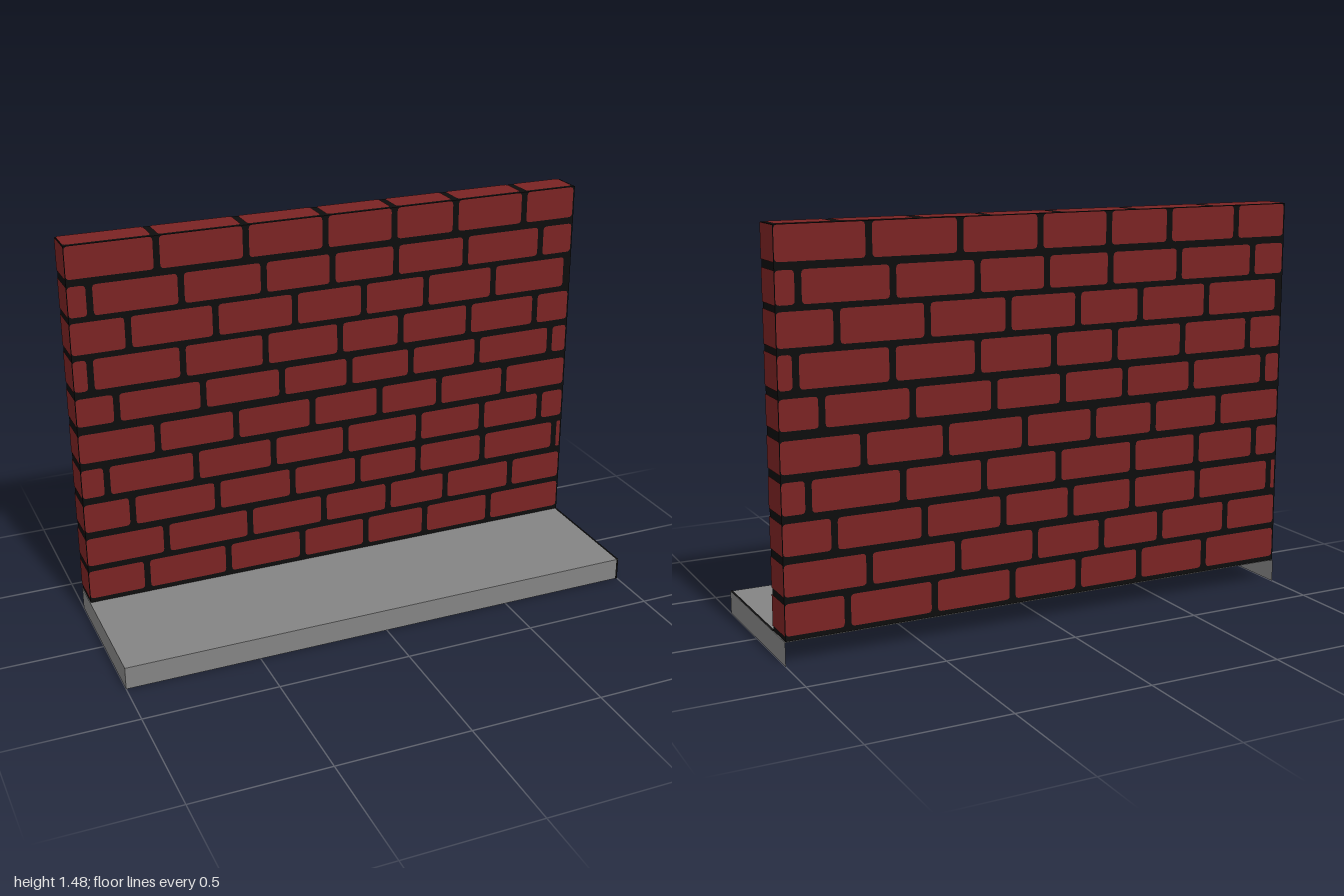
import * as THREE from 'three';
import { mergeGeometries } from 'three/addons/utils/BufferGeometryUtils.js';

const W = 2, FRONT = 0.303, BACK = -0.303, FACE = -0.178, BASE = 0.085, TOP = 1.475;
const WALL_Z = (FACE + BACK) / 2, DEPTH = FACE - BACK, SKIN = 0.002;

// Courses from the top: bottom y, top y, and the x centre of every upright joint
const courses = [
  [1.353, 1.472, [-0.674, -0.345, -0.04, 0.235, 0.487, 0.778]],
  [1.214, 1.327, [-0.92, -0.591, -0.281, -0.013, 0.243, 0.532, 0.856]],
  [1.075, 1.193, [-0.791, -0.468, -0.163, 0.112, 0.369, 0.655, 0.977]],
  [0.936, 1.053, [-0.936, -0.597, -0.281, 0.016, 0.265, 0.554, 0.845]],
  [0.802, 0.909, [-0.85, -0.526, -0.219, 0.053, 0.31, 0.596, 0.92]],
  [0.658, 0.77, [-0.706, -0.404, -0.099, 0.179, 0.433, 0.72]],
  [0.519, 0.631, [-0.904, -0.565, -0.259, 0.037, 0.348, 0.626, 0.888]],
  [0.38, 0.492, [-0.816, -0.487, -0.184, 0.088, 0.348, 0.634, 0.963]],
  [0.241, 0.353, [-0.693, -0.361, -0.056, 0.219, 0.471, 0.765]],
  [0.105, 0.218, [-0.775, -0.452, -0.147, 0.123, 0.382, 0.671]],
];

// Flat rectangle with softened corners
function brickFace(x0, x1, y0, y1) {
  const r = Math.min(0.014, (x1 - x0) / 3);
  const s = new THREE.Shape();
  s.moveTo(x0 + r, y0);
  s.lineTo(x1 - r, y0).quadraticCurveTo(x1, y0, x1, y0 + r);
  s.lineTo(x1, y1 - r).quadraticCurveTo(x1, y1, x1 - r, y1);
  s.lineTo(x0 + r, y1).quadraticCurveTo(x0, y1, x0, y1 - r);
  s.lineTo(x0, y0 + r).quadraticCurveTo(x0, y0, x0 + r, y0);
  return new THREE.ShapeGeometry(s, 3);
}

// Brick spans between the joints of one course
function spans(joints) {
  const ends = [-1 - 0.006, ...joints, 1];
  return ends.slice(1).map((b, i) => [ends[i] + 0.012, b - 0.012])
    .map(([a, b], i) => [i === 0 ? -0.997 : a, i === joints.length ? 0.991 : b])
    .filter(([a, b]) => b - a > 0.008);
}

export function createModel() {
  const model = new THREE.Group();
  model.name = 'brickWallOnBase';
  const brick = new THREE.MeshStandardMaterial({ color: 0x7a2323 });
  brick.name = 'brickRed';
  const mortar = new THREE.MeshStandardMaterial({ color: 0x0d0d0d });
  mortar.name = 'mortarBlack';
  const concrete = new THREE.MeshStandardMaterial({ color: 0x838383, side: THREE.DoubleSide });
  concrete.name = 'concreteGrey';

  const add = (name, geometry, material, x = 0, y = 0, z = 0, parent = model) => {
    const mesh = new THREE.Mesh(geometry, material);
    mesh.name = name;
    mesh.position.set(x, y, z);
    parent.add(mesh);
    return mesh;
  };

  // Base shell, open underneath and at the back
  const base = new THREE.Group();
  base.name = 'base';
  model.add(base);
  add('baseTop', new THREE.PlaneGeometry(W, FRONT - BACK).rotateX(-Math.PI / 2), concrete, 0, BASE, 0, base);
  add('baseFront', new THREE.PlaneGeometry(W, BASE), concrete, 0, BASE / 2, FRONT, base);
  for (const s of [-1, 1]) {
    add(s > 0 ? 'baseLeftSide' : 'baseRightSide',
      new THREE.PlaneGeometry(FRONT - BACK, BASE).rotateY(s * Math.PI / 2), concrete, s, BASE / 2, 0, base);
  }
  // Dark line along the base's left edge
  add('baseTopEdgeLine', new THREE.PlaneGeometry(0.008, FRONT - FACE).rotateX(-Math.PI / 2),
    mortar, 0.996, BASE + 0.001, (FRONT + FACE) / 2, base);
  add('baseFrontEdgeLine', new THREE.PlaneGeometry(0.008, BASE), mortar, 0.996, BASE / 2, FRONT + 0.001, base);

  // Wall core shows as mortar between the bricks
  const wall = new THREE.Group();
  wall.name = 'wall';
  wall.position.z = WALL_Z;
  model.add(wall);
  const h = TOP - BASE - 2 * SKIN;
  add('mortarCore', new THREE.BoxGeometry(W - 2 * SKIN, h, DEPTH - 2 * SKIN), mortar, 0, BASE + SKIN + h / 2, 0, wall);

  // Both long faces carry the same bond, turned half round for the back
  const face = mergeGeometries(courses.flatMap(([y0, y1, joints]) =>
    spans(joints).map(([a, b]) => brickFace(a, b, y0, y1))));
  add('frontBricks', face, brick, 0, 0, DEPTH / 2, wall);
  add('backBricks', face, brick, 0, 0, -DEPTH / 2, wall).rotation.y = Math.PI;

  // Wall ends: one full-depth brick per course
  const end = mergeGeometries(courses.map(([y0, y1]) =>
    new THREE.PlaneGeometry(DEPTH, y1 - y0).translate(0, (y0 + y1) / 2, 0)));
  for (const s of [-1, 1]) {
    add(s > 0 ? 'leftEndBricks' : 'rightEndBricks', end, brick, s, 0, 0, wall).rotation.y = s * Math.PI / 2;
  }

  // Top of the wall follows the joints of the highest course
  const cap = mergeGeometries(spans(courses[0][2]).map(([a, b]) =>
    brickFace(a, b, -DEPTH / 2 + 0.011, DEPTH / 2 - 0.003)));
  add('topBricks', cap.rotateX(-Math.PI / 2), brick, 0, TOP, 0, wall);

  return model;
}
